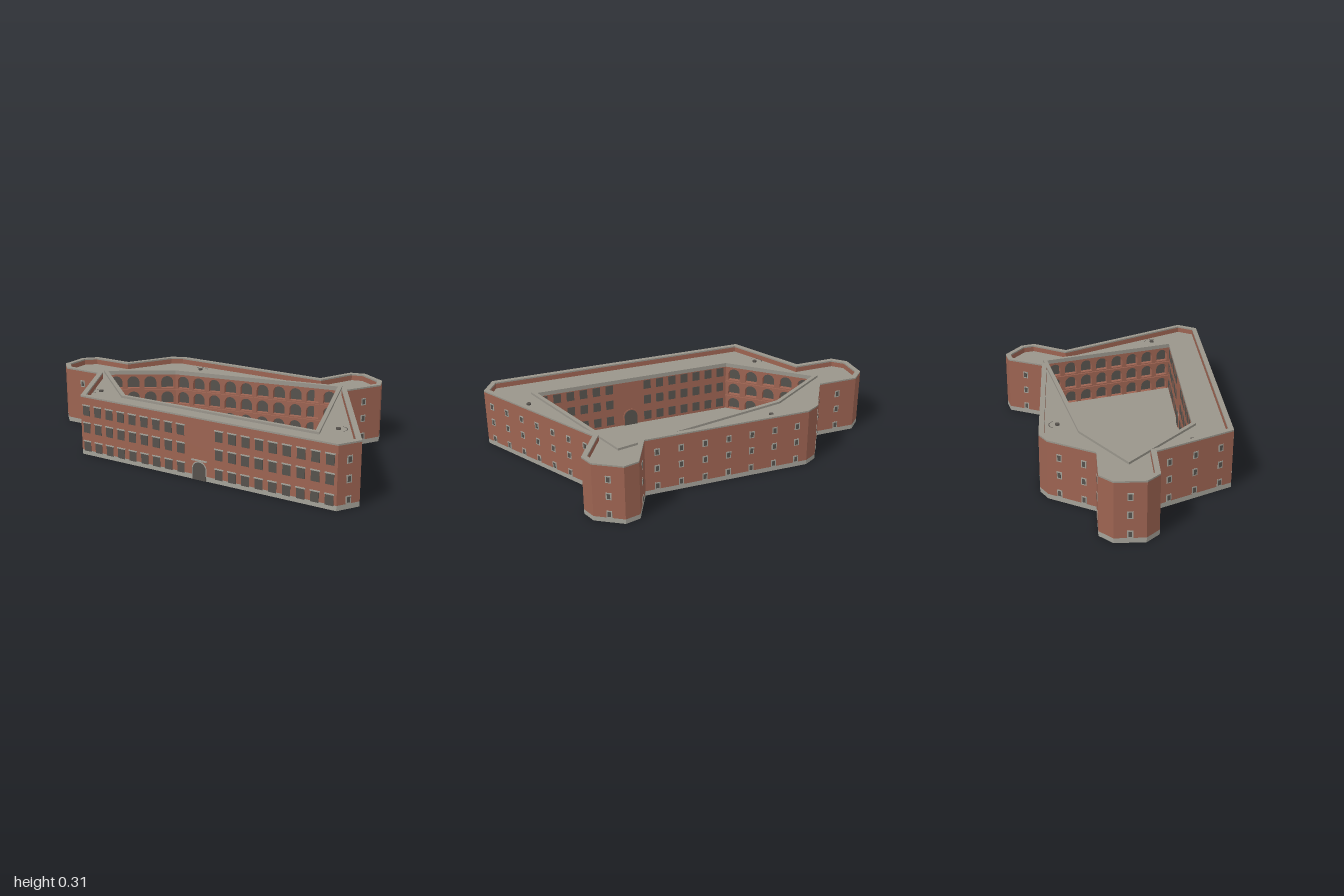
import * as THREE from 'three';

const mat = (name, color) => {
  const m = new THREE.MeshStandardMaterial({ color, side: THREE.DoubleSide });
  m.name = name;
  return m;
};

// Plan outlines as [x, z]; each edge's facing side is (-dz, dx)
const OUTER = [[-0.51, 0.575], [0.935, 0.575], [1, 0.47], [0.6, -0.23], [0.71, -0.415], [0.685, -0.49],
  [0.55, -0.575], [0.47, -0.555], [0.38, -0.365], [-0.51, -0.37], [-0.58, -0.33], [-0.715, -0.1],
  [-0.935, -0.1], [-1, -0.035], [-1, 0.115], [-0.935, 0.18], [-0.715, 0.18]];
const COURT = [[0.735, 0.39], [-0.37, 0.39], [-0.75, 0.05], [-0.43, -0.16], [0.5, -0.34]];

const edge = (poly, i) => {
  const a = poly[i], b = poly[(i + 1) % poly.length];
  const dx = b[0] - a[0], dz = b[1] - a[1], len = Math.hypot(dx, dz);
  return { a, len, n: [-dz / len, dx / len], turn: Math.atan2(-dz, dx) };
};

// Move every edge of an outline along its facing side
const offset = (poly, t) => poly.map((p, i) => {
  const m = edge(poly, (i + poly.length - 1) % poly.length).n, n = edge(poly, i).n;
  const k = t / (1 + m[0] * n[0] + m[1] * n[1]);
  return [p[0] + (m[0] + n[0]) * k, p[1] + (m[1] + n[1]) * k];
});

const archPath = (Type, x, y, w, h) => {
  const p = new Type(), r = w / 2;
  p.moveTo(x - r, y);
  p.lineTo(x + r, y);
  p.lineTo(x + r, y + h - r);
  p.absarc(x, y + h - r, r, 0, Math.PI, false);
  p.lineTo(x - r, y);
  return p;
};

export function createModel() {
  const model = new THREE.Group();
  model.name = 'courtyardFort';
  const brick = mat('brick', 0x9c6351);
  const stone = mat('stone', 0x99958b);
  const trim = mat('paleStone', 0xa3a198);
  const dark = mat('darkOpening', 0x55514c);

  const add = (parent, name, geo, material, x = 0, y = 0, z = 0) => {
    const mesh = new THREE.Mesh(geo, material);
    mesh.name = name;
    mesh.position.set(x, y, z);
    parent.add(mesh);
    return mesh;
  };
  const box = (w, h, d) => new THREE.BoxGeometry(w, h, d);
  const extrude = (shape, depth) =>
    new THREE.ExtrudeGeometry(shape, { depth, bevelEnabled: false, curveSegments: 8 });

  // Horizontal slab or ring from plan outlines
  const slab = (name, outline, hole, y, h, material) => {
    const pts = o => o.map(p => new THREE.Vector2(p[0], -p[1]));
    const shape = new THREE.Shape(pts(outline));
    if (hole) shape.holes.push(new THREE.Path(pts(hole)));
    add(model, name, extrude(shape, h).rotateX(-Math.PI / 2), material, 0, y, 0);
  };
  // Group with x along an edge and z facing out of the wall
  const wallFrame = (name, e) => {
    const g = new THREE.Group();
    g.name = name;
    g.position.set(e.a[0], 0, e.a[1]);
    g.rotation.y = e.turn;
    model.add(g);
    return g;
  };

  // Outer shell, roof deck and courtyard floor
  const inside = offset(OUTER, -0.026);
  slab('plinth', OUTER, inside, 0, 0.025, trim);
  slab('outerWall', OUTER, inside, 0.025, 0.282, brick);
  slab('parapetCoping', OUTER, inside, 0.307, 0.008, stone);
  slab('roofDeck', inside, COURT, 0.268, 0.012, stone);
  slab('courtyardCurb', offset(COURT, -0.018), offset(COURT, 0.003), 0.28, 0.012, stone);
  slab('courtyardFloor', COURT, null, 0, 0.006, stone);

  // Outer windows
  const rows = [0.045, 0.144, 0.236];
  const gateX = 0.21;
  const bigPane = box(0.042, 0.052, 0.004), lintel = box(0.05, 0.006, 0.008);
  const slitFrame = box(0.028, 0.038, 0.004), slitPane = box(0.016, 0.026, 0.007);
  OUTER.forEach((_, i) => {
    const e = edge(OUTER, i), front = i === 0;
    const n = front ? 20 : Math.floor(e.len / 0.114);
    const g = wallFrame(front ? 'frontWindows' : 'sideWindows', e);
    for (let k = 0; k < n; k++) {
      if (front && (k === 9 || k === 10)) continue;
      const x = (k + 0.5) * e.len / n;
      for (const y of rows) {
        if (front) {
          add(g, 'window', bigPane, dark, x, y + 0.002, 0);
          add(g, 'lintel', lintel, trim, x, y + 0.03, 0);
        } else {
          add(g, 'windowFrame', slitFrame, trim, x, y, 0);
          add(g, 'windowPane', slitPane, dark, x, y, 0);
        }
      }
    }
  });

  // Courtyard walls: windows at the front side, three arcade tiers on the others
  const tiers = [0.006, 0.098, 0.188];
  COURT.forEach((_, i) => {
    const e = edge(COURT, i), plain = i === 0;
    const g = wallFrame(plain ? 'courtyardFrontWall' : 'arcadeWall', e);
    const face = new THREE.Shape([[0, 0], [e.len, 0], [e.len, 0.268], [0, 0.268]]
      .map(p => new THREE.Vector2(...p)));
    const n = Math.round(e.len / (plain ? 0.072 : 0.095));
    const backs = [];
    for (let k = 0; k < n; k++) {
      const x = (k + 0.5) * e.len / n;
      if (plain) {
        if (Math.abs(e.a[0] - x - gateX) < 0.085) continue;
        for (const y of rows) add(g, 'window', bigPane, dark, x, y + 0.002, 0);
        continue;
      }
      for (const y of tiers) {
        face.holes.push(archPath(THREE.Path, x, y, 0.068, 0.07));
        backs.push(archPath(THREE.Shape, x, y, 0.068, 0.07));
      }
    }
    add(g, 'wall', extrude(face, 0.03), brick, 0, 0, -0.03);
    if (!plain) {
      add(g, 'archBacks', extrude(backs, 0.006), dark, 0, 0, -0.032);
      for (const y of [0.087, 0.177])
        add(g, 'tierLedge', box(e.len, 0.009, 0.014), brick, e.len / 2, y, 0.001);
    }
  });

  // Gate: doors at both ends of a brick passage
  const door = extrude(archPath(THREE.Shape, 0, 0, 0.074, 0.09), 0.006);
  const surround = extrude(archPath(THREE.Shape, 0, 0, 0.084, 0.096), 0.004);
  for (const [z, y] of [[0.572, 0], [0.386, 0.006]]) {
    add(model, 'gateSurround', surround, z > 0.5 ? trim : brick, gateX, y, z);
    add(model, 'gateDoor', door, dark, gateX, y, z > 0.5 ? z : z - 0.002);
  }
  add(model, 'gateLintel', box(0.09, 0.007, 0.01), trim, gateX, 0.1, 0.575);
  for (const s of [-1, 1])
    add(model, 'passageWall', box(0.008, 0.1, 0.135), brick, gateX + s * 0.046, 0.05, 0.485);
  add(model, 'passageRoof', box(0.1, 0.006, 0.135), brick, gateX, 0.103, 0.485);

  // Round mounts with curved tracks on the roof deck
  const pivot = new THREE.CylinderGeometry(0.012, 0.012, 0.008, 12);
  const track = new THREE.RingGeometry(0.04, 0.044, 20, 1, -Math.PI / 3, Math.PI * 2 / 3)
    .rotateX(-Math.PI / 2);
  for (const [x, z, turn] of [[-0.54, 0.37, -2.6], [-0.34, -0.28, 1.57], [0.8, 0.29, 0.52]]) {
    add(model, 'mountPivot', pivot, dark, x, 0.284, z);
    add(model, 'mountTrack', track, dark, x, 0.282, z).rotation.y = turn;
  }
  return model;
}
